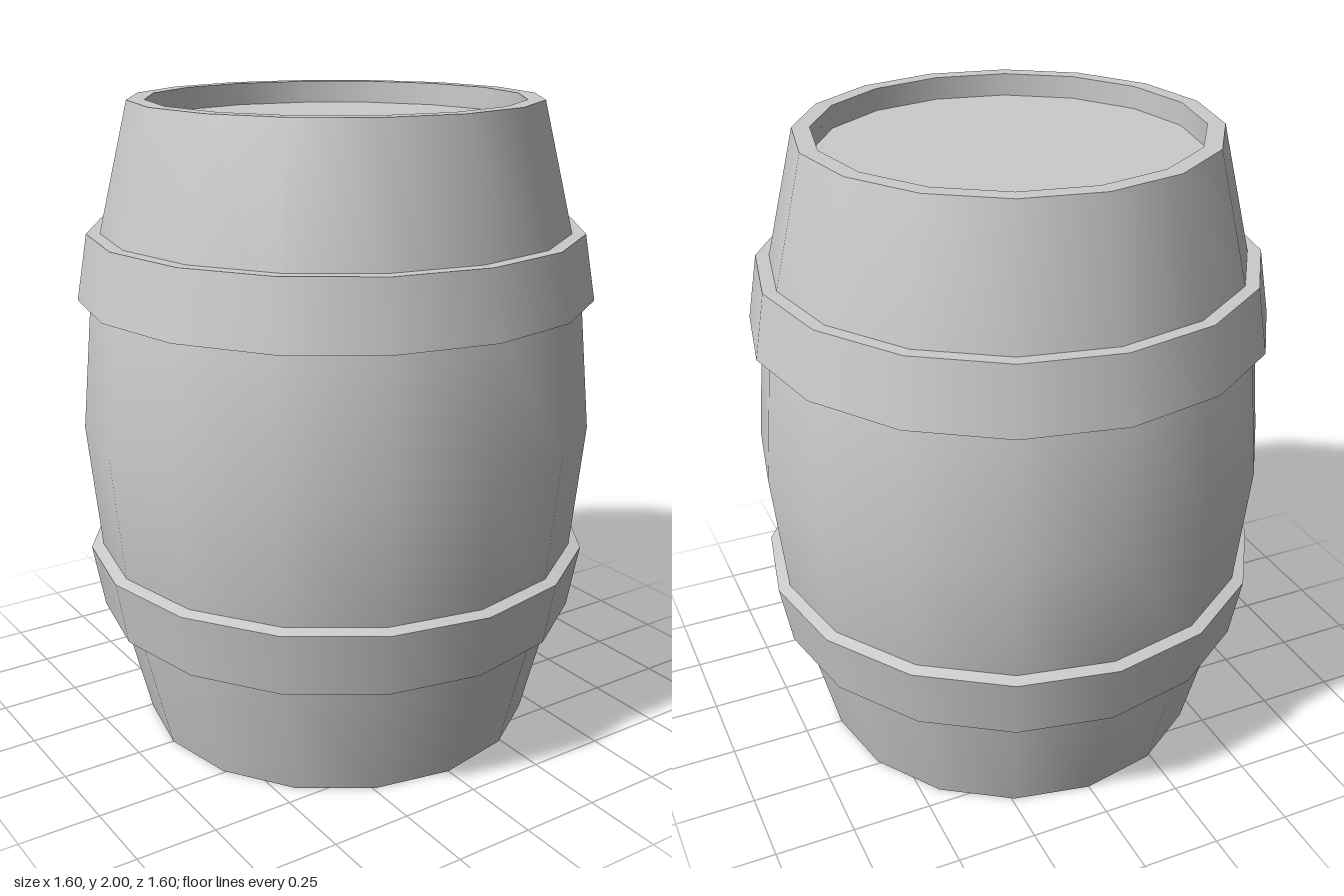
import * as THREE from 'three';
import { mergeGeometries } from 'three/addons/utils/BufferGeometryUtils.js';

const SIDES = 16;
const material = new THREE.MeshStandardMaterial({ color: 0xcccccc });

// Each strip is smooth in itself; the edges between strips stay sharp.
function turned(name, strips) {
  const parts = strips.map((strip) =>
    new THREE.LatheGeometry(strip.map(([r, y]) => new THREE.Vector2(r, y)), SIDES));
  const mesh = new THREE.Mesh(mergeGeometries(parts), material);
  mesh.name = name;
  return mesh;
}

// Mirrors a profile about mid height, keeping its faces outward.
const flip = (strips) => strips.map((s) => s.map(([r, y]) => [r, 2 - y]).reverse());

export function createModel() {
  const group = new THREE.Group();
  group.name = 'barrel';

  // Bulging stave wall
  group.add(turned('staves', [[[0.628, 0], [0.755, 0.52], [0.8, 1], [0.755, 1.48], [0.628, 2]]]));

  // Recessed head with its rim
  const head = [
    [[0, 0.07], [0.575, 0.07]],
    [[0.575, 0.07], [0.575, 0]],
    [[0.575, 0], [0.628, 0]],
  ];
  group.add(turned('bottomHead', head), turned('topHead', flip(head)));

  // Hoop, flaring toward the belly
  const hoop = [
    [[0.715, 0.392], [0.765, 0.392]],
    [[0.765, 0.392], [0.8, 0.594]],
    [[0.8, 0.594], [0.755, 0.606]],
    [[0.755, 0.606], [0.715, 0.392]],
  ];
  group.add(turned('lowerHoop', hoop), turned('upperHoop', flip(hoop)));

  return group;
}
